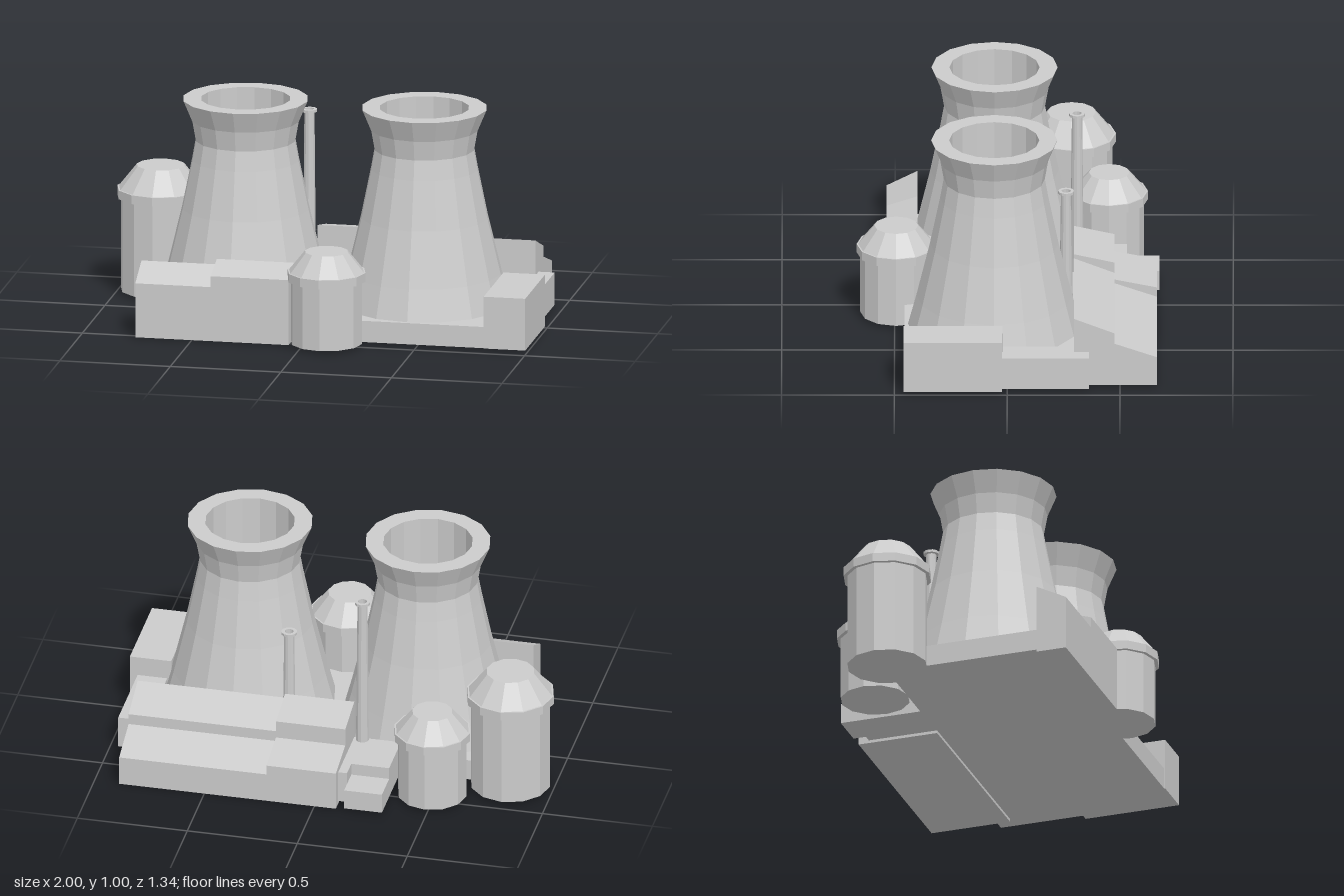
import * as THREE from 'three';

const material = new THREE.MeshStandardMaterial({ color: 0xcccccc, flatShading: true });

function add(group, geometry, name, x = 0, y = 0, z = 0) {
  const mesh = new THREE.Mesh(geometry, material);
  mesh.name = name;
  mesh.position.set(x, y, z);
  group.add(mesh);
  return mesh;
}

// Box between two corners whose roof may slope from back to front
function block(group, name, [x0, x1], [z0, z1], y0, yBack, yFront = yBack) {
  const geo = new THREE.BoxGeometry(x1 - x0, 1, z1 - z0).toNonIndexed();
  geo.translate((x0 + x1) / 2, 0, (z0 + z1) / 2);
  const p = geo.attributes.position;
  const mid = (z0 + z1) / 2;
  for (let i = 0; i < p.count; i++) {
    p.setY(i, p.getY(i) < 0 ? y0 : p.getZ(i) < mid ? yBack : yFront);
  }
  geo.computeVertexNormals();
  return add(group, geo, name);
}

// Faceted turned body from [radius, height] pairs, listed bottom to top
function turned(group, name, profile, sides, x, z) {
  const pts = profile.map(([r, y]) => new THREE.Vector2(r, y));
  return add(group, new THREE.LatheGeometry(pts, sides), name, x, 0, z);
}

// Domed tank: body, overhanging rim band and truncated cone roof
function tank(group, name, x, z, body, rim, top, rimLow, rimHigh, height) {
  turned(group, name, [
    [0, 0.013], [body, 0.013], [body, rimLow], [rim, rimLow],
    [rim, rimHigh], [rim * 0.96, rimHigh], [top, height], [0, height],
  ], 12, x, z);
}

// Slim tapered stack with a lip and a hollow mouth
function chimney(group, name, x, z, y0, height) {
  turned(group, name, [
    [0, y0], [0.03, y0], [0.023, height - 0.014], [0.035, height - 0.012],
    [0.035, height], [0.02, height], [0.02, height - 0.08], [0, height - 0.08],
  ], 12, x, z);
}

export function createModel() {
  const model = new THREE.Group();
  model.name = 'powerStation';

  // Ground slab
  block(model, 'baseSlab', [-0.753, 0.83], [-0.3, 0.455], 0.013, 0.11);

  // Pair of flared cooling towers, open at the top
  for (const [name, x] of [['rightCoolingTower', -0.352], ['leftCoolingTower', 0.457]]) {
    turned(model, name, [
      [0, 0.1], [0.385, 0.1], [0.345, 0.25], [0.285, 0.5], [0.24, 0.72],
      [0.224, 0.81], [0.24, 0.9], [0.28, 0.996],
      [0.2, 0.996], [0.2, 0.5], [0, 0.5],
    ], 16, x, 0.058);
  }

  // Storage tanks
  tank(model, 'frontTank', 0.103, 0.493, 0.16, 0.176, 0.097, 0.3, 0.34, 0.43);
  tank(model, 'sideTank', -0.805, -0.283, 0.18, 0.197, 0.108, 0.44, 0.48, 0.583);
  tank(model, 'backTank', -0.488, -0.45, 0.155, 0.172, 0.09, 0.3, 0.34, 0.43);

  // Chimneys
  chimney(model, 'tallChimney', -0.138, -0.308, 0.1, 0.867);
  chimney(model, 'shortChimney', 0.206, -0.26, 0.1, 0.642);

  // Front hall with two sloping roof sections
  block(model, 'frontHallLow', [-0.753, -0.412], [0.4, 0.537], 0.003, 0.32, 0.25);
  block(model, 'frontHallHigh', [-0.412, -0.06], [0.4, 0.537], 0.003, 0.345, 0.3);

  // Back hall, two tiers, each with two roof sections
  const high = [-0.098, 0.217], low = [0.217, 0.887];
  block(model, 'backHallUpperHigh', high, [-0.475, -0.295], 0, 0.3, 0.34);
  block(model, 'backHallUpperLow', low, [-0.475, -0.295], 0, 0.25, 0.32);
  block(model, 'backHallLowerHigh', high, [-0.663, -0.475], 0, 0.18, 0.218);
  block(model, 'backHallLowerLow', low, [-0.663, -0.475], 0, 0.135, 0.2);

  // Stepped annex beside the back hall
  block(model, 'annex', [-0.31, -0.098], [-0.53, -0.295], 0.013, 0.16);
  block(model, 'annexStrip', [-0.138, -0.098], [-0.615, -0.53], 0.013, 0.16);
  block(model, 'annexStep', [-0.31, -0.138], [-0.673, -0.53], 0.013, 0.105);

  // Side buildings
  block(model, 'sideBuildingTall', [0.807, 0.995], [0.022, 0.46], 0.013, 0.25);
  block(model, 'sideBuildingLow', [0.825, 0.96], [-0.363, 0.022], 0.013, 0.16);

  return model;
}
